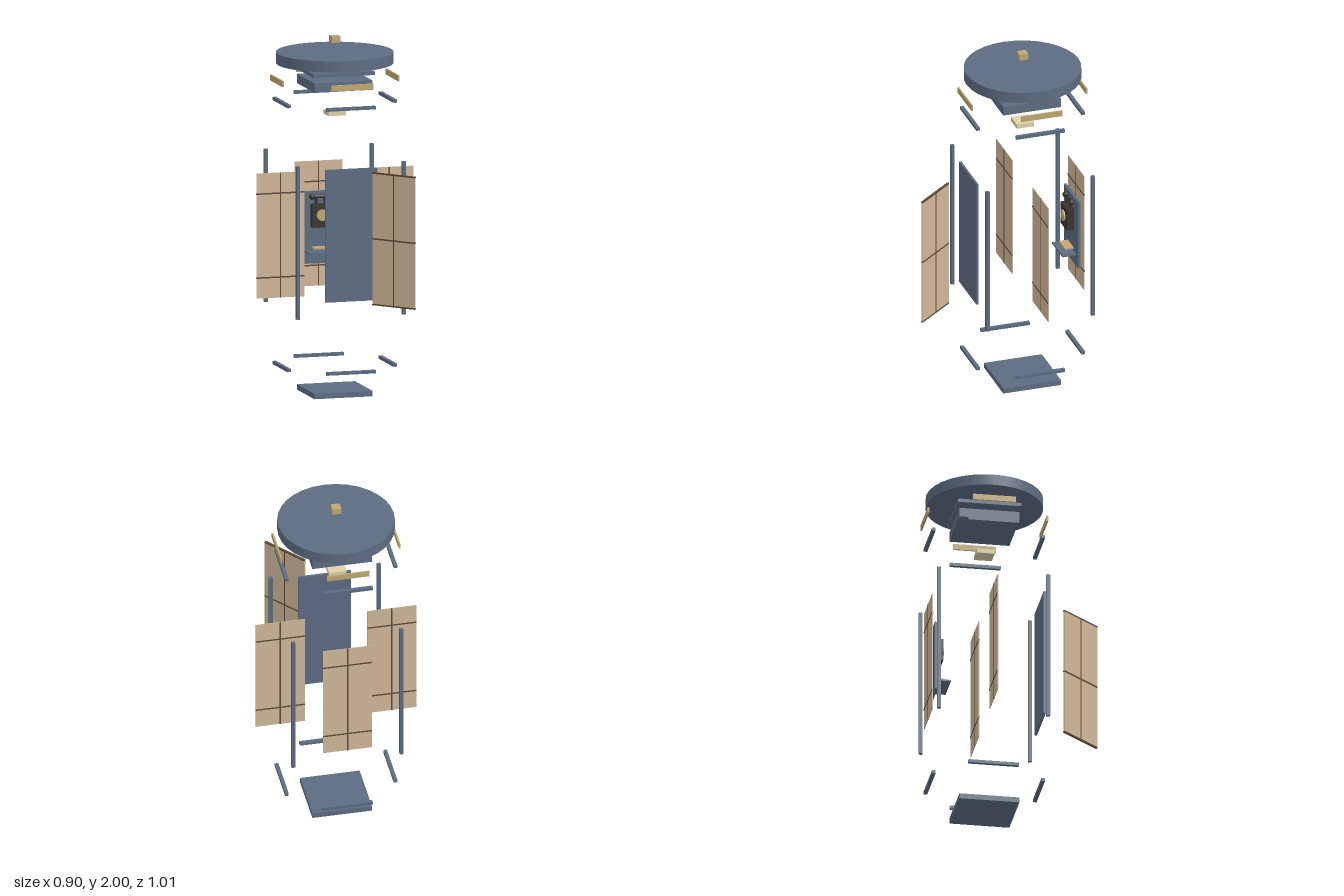
import * as THREE from 'three';

const mat = (color) => new THREE.MeshStandardMaterial({ color });
const blue = mat(0x5c6c82), tan = mat(0xc0a872), cream = mat(0xdcd2a8);
const paper = mat(0xd0b799), wood = mat(0x5e4a36), black = mat(0x38342f);
const CZ = -0.17; // the booth's vertical axis lies at this depth

export function createModel() {
  const root = new THREE.Group();

  const add = (parent, name, geometry, material, x, y, z) => {
    const mesh = new THREE.Mesh(geometry, material);
    mesh.name = name;
    mesh.position.set(x, y, z);
    parent.add(mesh);
    return mesh;
  };
  const box = (parent, name, material, [w, h, d], [x, y, z]) =>
    add(parent, name, new THREE.BoxGeometry(w, h, d), material, x, y, z);

  // Thin pane with crossing glazing bars that stand proud on both faces
  const pane = (name, w, h, thick, railHeights, [x, y, z]) => {
    const g = new THREE.Group();
    g.name = name;
    g.position.set(x, y, z);
    box(g, 'paneSheet', paper, [w, h, thick], [0, 0, 0]);
    box(g, 'paneStile', wood, [0.007, h, thick + 0.003], [0, 0, 0]);
    for (const ry of railHeights)
      box(g, 'paneRail', wood, [w, 0.008, thick + 0.004], [0, ry, 0]);
    root.add(g);
    return g;
  };

  // Floor slab and stacked roof
  box(root, 'base', blue, [0.336, 0.03, 0.336], [0, 0.015, CZ]);
  box(root, 'ceilingBlock', blue, [0.336, 0.052, 0.336], [0, 1.742, CZ]);
  box(root, 'roofPlate', blue, [0.354, 0.02, 0.354], [0, 1.81, CZ]);
  const disc = new THREE.CylinderGeometry(0.325, 0.325, 0.062, 32);
  add(root, 'roofDisc', disc, blue, 0, 1.88, CZ);
  box(root, 'roofLamp', tan, [0.05, 0.036, 0.05], [0, 1.982, CZ]);
  box(root, 'ceilingLight', cream, [0.1, 0.025, 0.1], [0, 1.572, CZ]);

  // Sign boards and upper and lower beams, one set per side
  for (let i = 0; i < 4; i++) {
    const side = new THREE.Group();
    side.name = 'sideTrim';
    side.position.z = CZ;
    side.rotation.y = (i * Math.PI) / 2;
    root.add(side);
    box(side, 'signBoard', tan, [0.24, 0.033, 0.009], [0, 1.764, 0.333]);
    for (const y of [0.163, 1.641])
      box(side, 'beam', blue, [0.283, 0.018, 0.02], [0, y, 0.306]);
  }

  // Corner posts
  for (const sx of [-1, 1])
    for (const sz of [-1, 1])
      box(root, 'cornerPost', blue, [0.02, 0.857, 0.02], [sx * 0.305, 0.904, CZ + sz * 0.306]);

  // Wall panes: two at the sides, one at the back
  for (const x of [-0.314, 0.314])
    pane('sidePane', 0.276, 0.7, 0.004, [-0.235, 0.235], [x, 0.9, CZ]);
  pane('backPane', 0.276, 0.7, 0.004, [-0.235, 0.235], [0, 0.9, -0.483]);

  // Front panel and the door swung open ahead of it
  box(root, 'frontPanel', blue, [0.298, 0.742, 0.012], [0, 0.935, 0.143]);
  const door = pane('openDoor', 0.279, 0.742, 0.008, [-0.368, 0, 0.368], [0.17, 0.935, 0.396]);
  door.rotation.y = -Math.atan2(0.213, 0.18);

  // Telephone board with its shelf and book
  box(root, 'phoneBoard', blue, [0.245, 0.405, 0.016], [0, 0.883, -0.459]);
  box(root, 'shelf', blue, [0.18, 0.009, 0.08], [0, 0.749, -0.412]);
  box(root, 'shelfBook', tan, [0.1, 0.01, 0.052], [0, 0.771, -0.425]);

  // Telephone
  const phone = new THREE.Group();
  phone.name = 'telephone';
  root.add(phone);
  box(phone, 'phoneBody', black, [0.11, 0.13, 0.042], [0, 0.951, -0.43]);
  for (const x of [-0.025, 0.025])
    box(phone, 'cradle', black, [0.012, 0.035, 0.02], [x, 1.03, -0.44]);
  const dial = add(phone, 'dial', new THREE.CylinderGeometry(0.032, 0.032, 0.009, 24), tan, 0, 0.957, -0.405);
  dial.rotation.x = Math.PI / 2;
  const grip = add(phone, 'handsetGrip', new THREE.CylinderGeometry(0.01, 0.01, 0.1, 12), black, 0, 1.057, -0.437);
  grip.rotation.z = Math.PI / 2;
  for (const x of [-0.05, 0.05])
    add(phone, 'handsetEnd', new THREE.SphereGeometry(0.017, 16, 12), black, x, 1.057, -0.437);

  return root;
}
